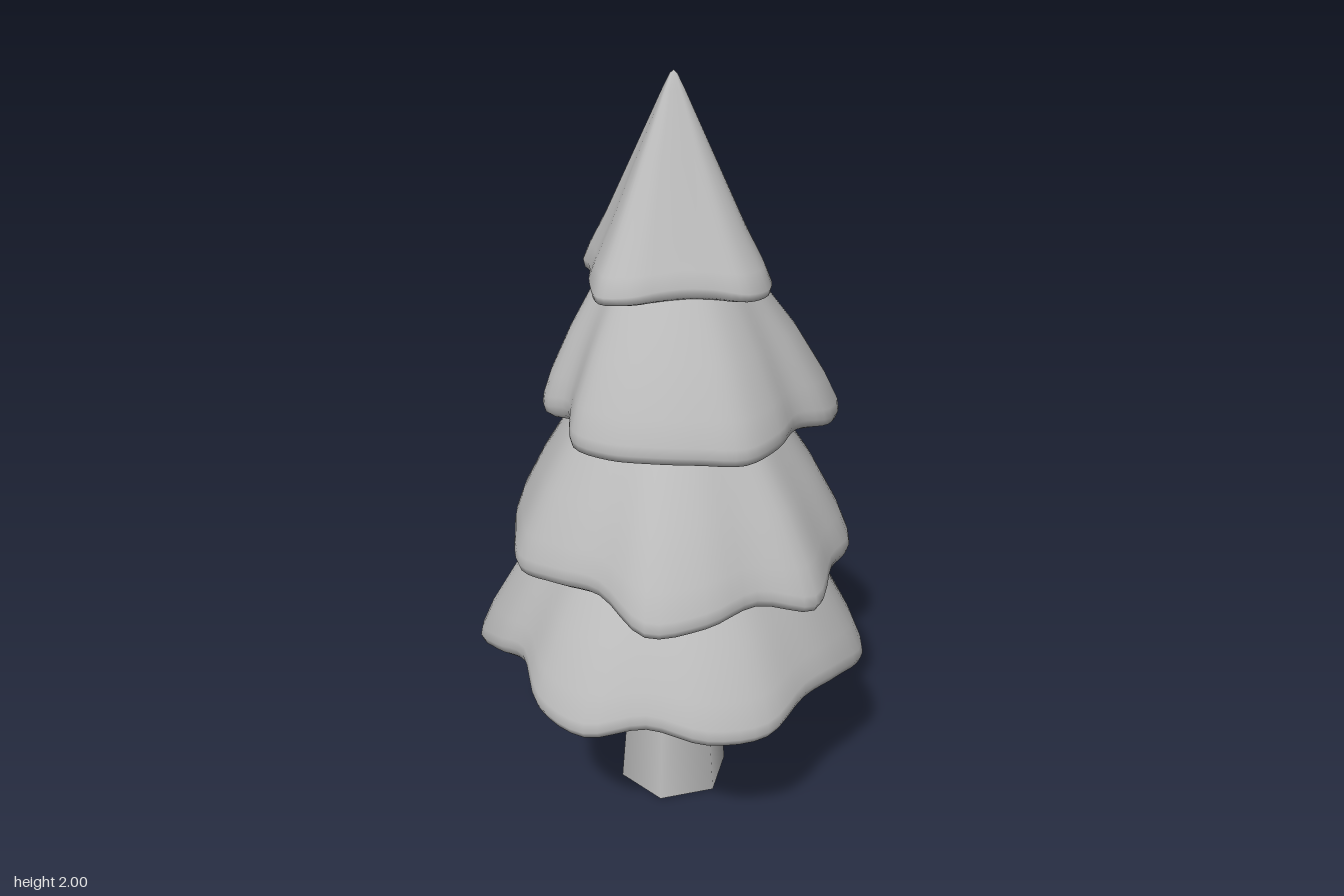
import * as THREE from 'three';

const SEGMENTS = 80;

// Side profiles, top to underside: [fraction of rim radius, height above rim, strength of the waves]
const skirt = [
  [0, 0.6, 0], [0.45, 0.495, 0.2], [0.66, 0.335, 0.4], [0.81, 0.225, 0.7], [0.94, 0.11, 0.9], [0.99, 0.05, 1],
  [1, 0.025, 1], [0.985, 0.006, 1], [0.94, -0.001, 0.95], [0.84, 0.012, 0.6], [0, 0.035, 0],
];
const peak = [
  [0, 0.503, 0], [0.04, 0.495, 0.6], [0.12, 0.458, 0.7], [0.41, 0.313, 0.8], [0.74, 0.148, 0.9], [0.92, 0.068, 1],
  [1, 0.025, 1], [0.98, 0.005, 1], [0.92, 0, 0.95], [0.8, 0.015, 0.6], [0, 0.04, 0],
];

// Wavy rims as radii at even angles, from the left side round by the front
const tiers = [
  { name: 'bottomTier', base: 0.46, taper: 1, sag: 1, profile: skirt,
    radii: [0.475, 0.52, 0.5, 0.525, 0.49, 0.475, 0.512, 0.505, 0.475, 0.51,
      0.495, 0.445, 0.49, 0.545, 0.47, 0.48, 0.515, 0.46, 0.495, 0.53] },
  { name: 'lowerMiddleTier', base: 0.778, taper: 1.05, sag: 0.75, profile: skirt,
    radii: [0.48, 0.472, 0.46, 0.47, 0.452, 0.495, 0.44, 0.468, 0.485, 0.412,
      0.42, 0.443, 0.42, 0.425, 0.45, 0.43, 0.432, 0.47, 0.45, 0.475] },
  { name: 'upperMiddleTier', base: 1.148, taper: 1.25, sag: 0.5, profile: skirt,
    radii: [0.38, 0.393, 0.435, 0.405, 0.345, 0.36, 0.375, 0.355, 0.35, 0.355,
      0.35, 0.292, 0.33, 0.32, 0.305, 0.35, 0.36, 0.325, 0.352, 0.4] },
  { name: 'topTier', base: 1.497, taper: 1, sag: 0.4, profile: peak,
    radii: [0.27, 0.25, 0.22, 0.237, 0.26, 0.25, 0.21, 0.197, 0.206, 0.236,
      0.255, 0.226, 0.204, 0.213, 0.252, 0.287, 0.262, 0.23, 0.222, 0.279] },
];

// Closed skirt of foliage: the rim outline is scaled along the profile
function tierGeometry({ base, taper, sag, profile, radii }) {
  const corners = radii.map((r, i) => {
    const angle = (i / radii.length) * Math.PI * 2;
    return new THREE.Vector3(Math.cos(angle) * r, 0, Math.sin(angle) * r);
  });
  const rim = new THREE.CatmullRomCurve3(corners, true, 'catmullrom', 0.5).getPoints(SEGMENTS).slice(0, SEGMENTS);
  const mean = rim.reduce((sum, p) => sum + p.length(), 0) / SEGMENTS;
  const last = profile.length - 1;
  const positions = [];
  const index = [];
  profile.forEach(([fraction, height, wave], i) => {
    // The taper narrows only the slope above the rim
    const scale = height > 0.05 ? Math.max(0, 1 - (1 - fraction) * taper) : fraction;
    // Each tier leans slightly towards the trunk axis at its top
    const lean = 1 - scale;
    rim.forEach((p, j) => {
      const r = p.length();
      const k = scale * (mean + (r - mean) * wave) / r;
      // Lobes that stick out droop lower
      const droop = sag * (r - mean) * wave * scale ** 4;
      positions.push(p.x * k + 0.013 * lean, base + height - droop, p.z * k - 0.01 * lean);
      const a = i * SEGMENTS + j;
      const b = i * SEGMENTS + (j + 1) % SEGMENTS;
      if (i > 0 && i < last) index.push(a, b, a + SEGMENTS);
      if (i < last - 1) index.push(b, b + SEGMENTS, a + SEGMENTS);
    });
  });
  const geometry = new THREE.BufferGeometry();
  geometry.setAttribute('position', new THREE.Float32BufferAttribute(positions, 3));
  geometry.setIndex(index);
  geometry.computeVertexNormals();
  return geometry;
}

export function createModel() {
  const tree = new THREE.Group();
  tree.name = 'pineTree';
  const grey = new THREE.MeshStandardMaterial({ color: 0xbcbcbc, side: THREE.DoubleSide });
  grey.name = 'plainGrey';

  // Tapered six-sided trunk, open at the foot
  const trunk = new THREE.Mesh(new THREE.CylinderGeometry(0.11, 0.155, 0.55, 6, 1, true), grey);
  trunk.name = 'trunk';
  trunk.position.set(0.015, 0.275, -0.01);
  tree.add(trunk);

  // Four stacked tiers of foliage
  for (const spec of tiers) {
    const tier = new THREE.Mesh(tierGeometry(spec), grey);
    tier.name = spec.name;
    tree.add(tier);
  }
  return tree;
}
